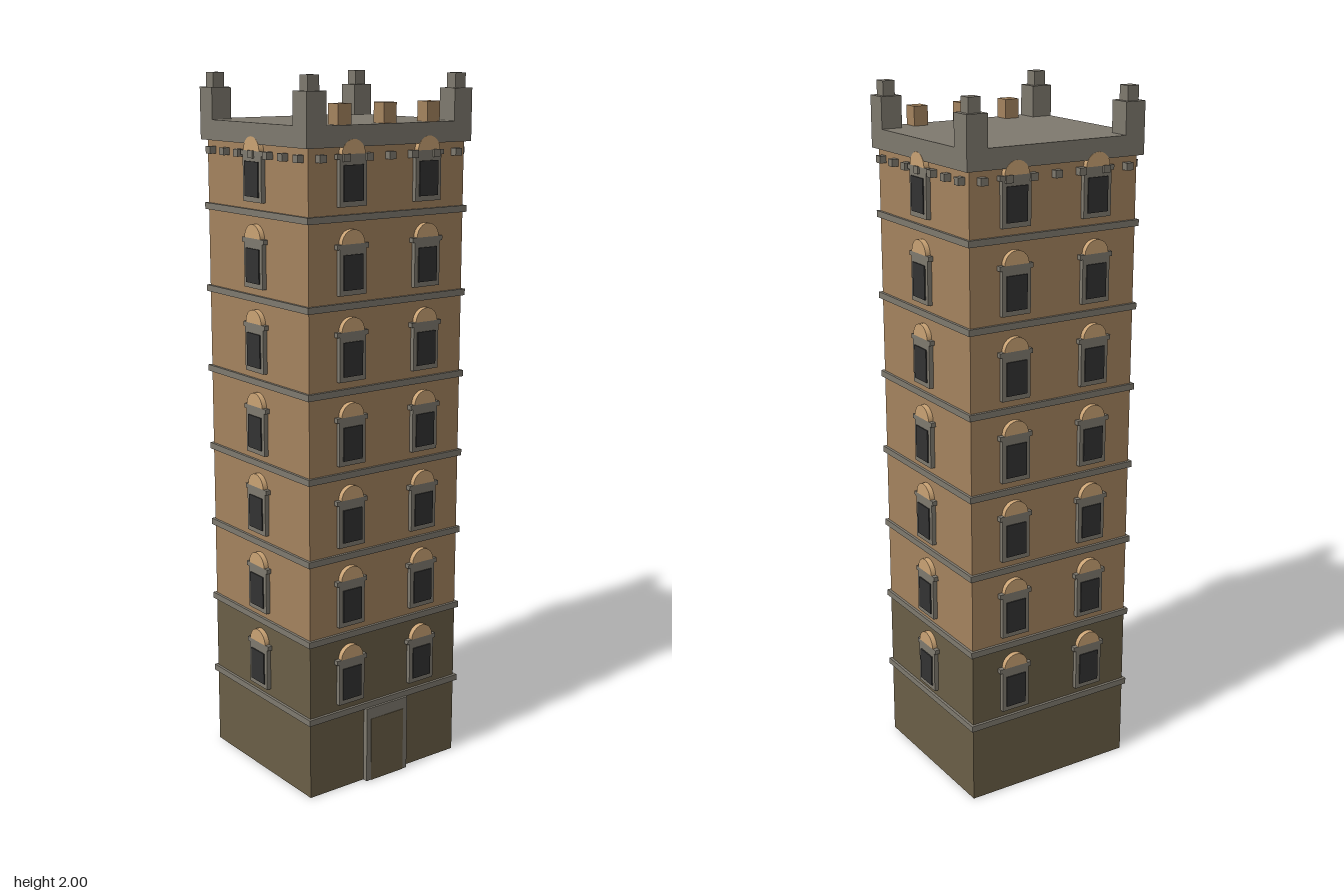
import * as THREE from 'three';

const mat = (name, color) => {
  const m = new THREE.MeshStandardMaterial({ color });
  m.name = name;
  return m;
};

const HX = 0.2625, HZ = 0.2405; // half width and half depth of the shaft
const FLOOR = 0.2333;           // storey height

export function createModel() {
  const wall = mat('tan brick', 0xa5845f);
  const base = mat('dark brown stone', 0x6b5f47);
  const trim = mat('grey stone', 0x7f7a6f);
  const glass = mat('dark glass', 0x333333);
  const sand = mat('pale sandstone', 0xcaa374);

  const tower = new THREE.Group();
  tower.name = 'tower';

  // Box given by its centre in x and z and its bottom and top heights
  const box = (parent, name, m, w, d, y0, y1, x = 0, z = 0) => {
    const mesh = new THREE.Mesh(new THREE.BoxGeometry(w, y1 - y0, d), m);
    mesh.position.set(x, (y0 + y1) / 2, z);
    mesh.name = name;
    parent.add(mesh);
    return mesh;
  };

  // Shaft: dark lower storeys, brick upper storeys
  box(tower, 'lowerWalls', base, 2 * HX, 2 * HZ, 0, 2 * FLOOR);
  box(tower, 'upperWalls', wall, 2 * HX, 2 * HZ, 2 * FLOOR, 1.817);

  // Belt courses between storeys
  for (let i = 1; i <= 7; i++) {
    box(tower, 'beltCourse', trim, 2 * HX + 0.016, 2 * HZ + 0.016, i * FLOOR - 0.009, i * FLOOR + 0.009);
  }

  // Half-round pediment above each window
  const archGeo = new THREE.CylinderGeometry(0.038, 0.038, 0.0148, 12, 1, false, Math.PI / 2, Math.PI);
  archGeo.rotateX(Math.PI / 2);

  // Window whose local z = 0 lies on the wall face
  const addWindow = (face, x, y) => {
    const w = new THREE.Group();
    w.name = 'window';
    w.position.set(x, y, 0);
    box(w, 'windowFrame', trim, 0.088, 0.013, 0.03, 0.153, 0, 0.0065);
    box(w, 'windowPane', glass, 0.064, 0.0165, 0.044, 0.138, 0, 0.00825);
    box(w, 'windowCornice', trim, 0.104, 0.0138, 0.153, 0.166, 0, 0.0069);
    const arch = new THREE.Mesh(archGeo, sand);
    arch.name = 'windowArch';
    arch.position.set(0, 0.166, 0.0074);
    w.add(arch);
    face.add(w);
  };

  // Four faces, each with its windows and a row of corbels
  const faces = [
    ['frontFace', 0, HZ, [-0.127, 0.127], 0.076],
    ['leftFace', 1, HX, [0], 0.07],
    ['backFace', 2, HZ, [-0.127, 0.127], 0.076],
    ['rightFace', 3, HX, [0], 0.07],
  ];
  for (const [name, turn, dist, columns, step] of faces) {
    const face = new THREE.Group();
    face.name = name;
    face.rotation.y = turn * Math.PI / 2;
    face.position.set(Math.sin(face.rotation.y) * dist, 0, Math.cos(face.rotation.y) * dist);
    for (let i = 1; i <= 7; i++) for (const x of columns) addWindow(face, x, i * FLOOR);
    for (let i = -3; i <= 3; i++) {
      box(face, 'corbel', trim, 0.022, 0.0195, 1.78, 1.8, i * step, 0.00975);
    }
    tower.add(face);
  }

  // Entrance
  box(tower, 'doorFrame', trim, 0.148, 0.015, 0, 0.226, 0, HZ + 0.0075);
  box(tower, 'door', base, 0.117, 0.0165, 0, 0.192, 0, HZ + 0.00825);

  // Roof slab with corner turrets and finials
  box(tower, 'roofSlab', trim, 2 * HX + 0.028, 2 * HZ + 0.028, 1.817, 1.873);
  for (const sx of [-1, 1]) for (const sz of [-1, 1]) {
    box(tower, 'cornerTurret', trim, 0.062, 0.062, 1.873, 1.96, sx * 0.2455, sz * 0.2235);
    box(tower, 'finial', trim, 0.036, 0.036, 1.96, 2, sx * 0.2455, sz * 0.2235);
  }

  // Merlons along the front edge
  for (const x of [-0.149, 0, 0.149]) {
    box(tower, 'merlon', wall, 0.043, 0.043, 1.873, 1.927, x, 0.2235);
  }

  return tower;
}
